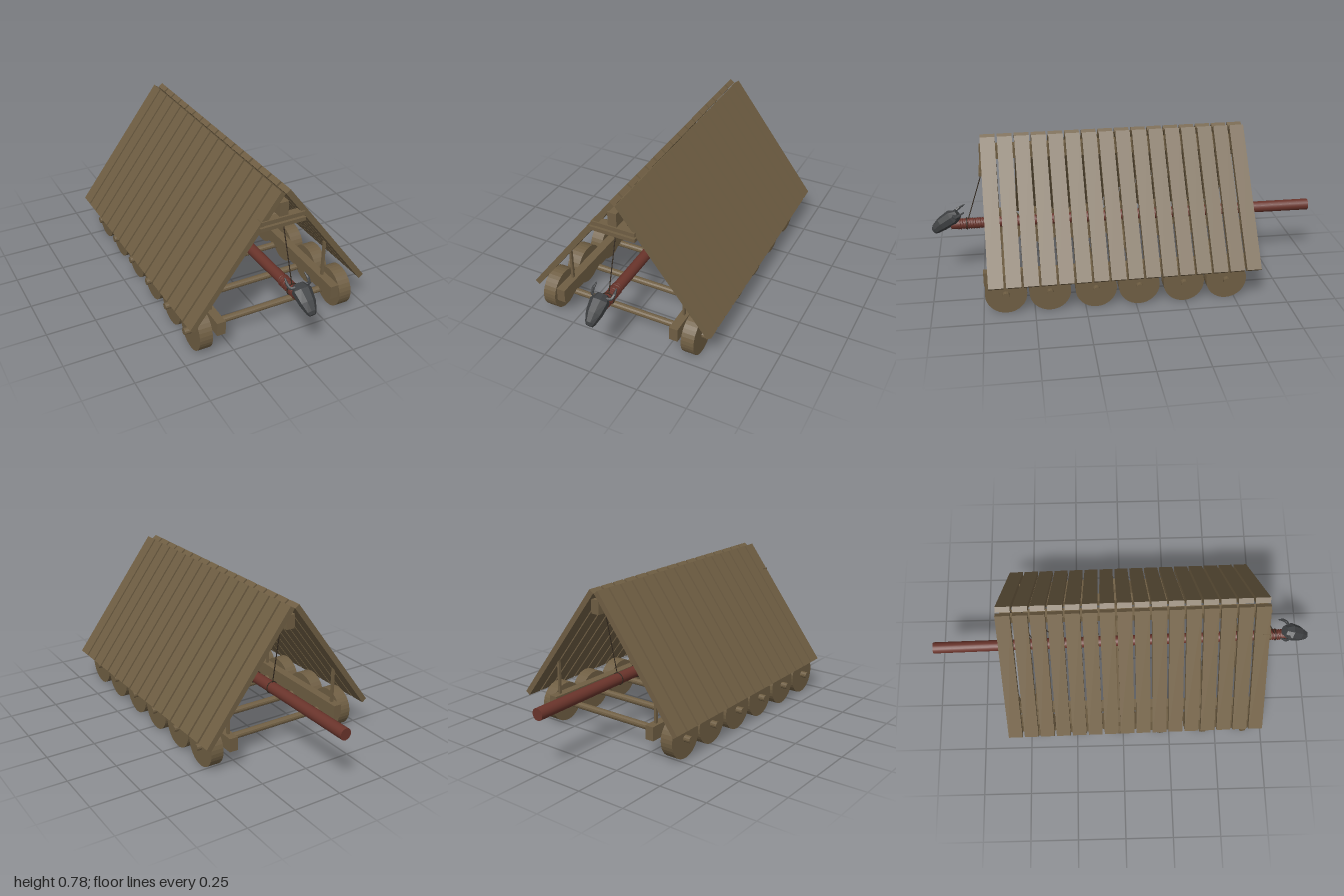
import * as THREE from 'three';

const wood = new THREE.MeshStandardMaterial({ color: 0x6f5e43, flatShading: true });
wood.name = 'wood';
const redWood = new THREE.MeshStandardMaterial({ color: 0x6a342b });
redWood.name = 'red wood';
const ropeMat = new THREE.MeshStandardMaterial({ color: 0x33291f });
ropeMat.name = 'rope';
const iron = new THREE.MeshStandardMaterial({ color: 0x3e4042, flatShading: true });
iron.name = 'dark iron';

const V = (x, y, z) => new THREE.Vector3(x, y, z);

function add(parent, name, geo, mat, x = 0, y = 0, z = 0) {
  const m = new THREE.Mesh(geo, mat);
  m.name = name;
  m.position.set(x, y, z);
  parent.add(m);
  return m;
}

const box = (p, name, w, h, d, x, y, z) => add(p, name, new THREE.BoxGeometry(w, h, d), wood, x, y, z);

// Straight round bar between two points
function bar(parent, name, a, b, r, mat, sides = 6, r2 = r) {
  const m = add(parent, name, new THREE.CylinderGeometry(r2, r, a.distanceTo(b), sides), mat);
  m.position.copy(a).add(b).multiplyScalar(0.5);
  m.quaternion.setFromUnitVectors(V(0, 1, 0), b.clone().sub(a).normalize());
  return m;
}

// Faceted head lofted through hexagonal rings: [y, z, halfWidth, halfDepth]
function headGeometry() {
  const rings = [
    [0.368, 0.862, 0.026, 0.024],
    [0.352, 0.892, 0.048, 0.040],
    [0.318, 0.945, 0.040, 0.036],
    [0.290, 0.980, 0.025, 0.026],
    [0.280, 0.990, 0.016, 0.016],
  ];
  const n = 8, pos = [], idx = [];
  const up = V(0, 0.79, 0.61);
  rings.forEach(([y, z, w, h]) => {
    for (let i = 0; i < n; i++) {
      const a = (i + 0.5) / n * Math.PI * 2;
      const s = Math.sin(a) * h;
      pos.push(Math.cos(a) * w, y + up.y * s, z + up.z * s);
    }
  });
  for (let k = 0; k < rings.length - 1; k++)
    for (let i = 0; i < n; i++) {
      const j = (i + 1) % n, a = k * n + i, b = k * n + j;
      idx.push(a, b, b + n, a, b + n, a + n);
    }
  const last = (rings.length - 1) * n;
  for (let i = 1; i < n - 1; i++) {
    idx.push(0, i + 1, i);
    idx.push(last, last + i, last + i + 1);
  }
  const g = new THREE.BufferGeometry();
  g.setAttribute('position', new THREE.Float32BufferAttribute(pos, 3));
  g.setIndex(idx);
  g.computeVertexNormals();
  return g;
}

export function createModel() {
  const model = new THREE.Group();
  model.name = 'batteringRam';

  // Plank roof, slightly askew on the frame
  const roof = new THREE.Group();
  roof.name = 'roof';
  roof.rotation.y = 0.014;
  model.add(roof);
  const tilt = Math.atan2(0.452, 0.602);
  for (let i = 0; i < 16; i++)
    for (const s of [-1, 1]) {
      const plank = box(roof, 'roofPlank', 0.028, 0.753, 0.073, s * 0.239, 0.471, 0.69 - i * 0.0843);
      plank.rotation.z = s * tilt;
    }

  // Ridge beam and front ties
  box(model, 'ridgeBeam', 0.045, 0.07, 1.33, 0, 0.695, 0.07);
  box(model, 'upperTie', 0.225, 0.02, 0.04, 0, 0.643, 0.715);
  box(model, 'lowerTie', 0.235, 0.019, 0.04, -0.003, 0.616, 0.72);

  // Side beams with posts carrying the roof
  for (const x of [-0.313, 0.304]) {
    box(model, 'sideBeam', 0.044, 0.07, 1.335, x, 0.145, 0.077);
    for (const z of [0.63, 0.02, -0.54]) box(model, 'roofPost', 0.012, 0.2, 0.014, x, 0.275, z);
  }

  // Six axles with wheels
  for (const z of [0.638, 0.424, 0.198, -0.016, -0.24, -0.456]) {
    bar(model, 'axle', V(-0.455, 0.102, z), V(0.43, 0.102, z), 0.017, wood, 12);
    for (const x of [-0.387, 0.373])
      bar(model, 'wheel', V(x - 0.033, 0.102, z), V(x + 0.033, 0.102, z), 0.102, wood, 32);
  }

  // Swinging ram log
  const tail = V(-0.015, 0.298, -1), tip = V(0.012, 0.312, 0.9);
  bar(model, 'ramLog', tail, tip, 0.03, redWood, 20, 0.026);
  const onLog = z => tail.clone().lerp(tip, (z + 1) / 1.9);

  // Binding wound round the front of the log
  const coil = [];
  for (let i = 0; i <= 120; i++) {
    const a = i / 12 * Math.PI * 2, c = onLog(0.735 + i / 120 * 0.13);
    coil.push(V(c.x + Math.cos(a) * 0.027, c.y + Math.sin(a) * 0.027, c.z));
  }
  add(model, 'binding', new THREE.TubeGeometry(new THREE.CatmullRomCurve3(coil), 240, 0.0025, 5), redWood);

  // Ropes from the ridge beam to the log
  for (const [top, bottom] of [[0.675, 0.82], [-0.54, -0.45], [-0.49, -0.31]]) {
    const end = onLog(bottom);
    bar(model, 'rope', V(0.005, 0.75, top), end, 0.0025, ropeMat);
    const ring = add(model, 'ropeLoop', new THREE.TorusGeometry(0.03, 0.003, 5, 20), ropeMat);
    ring.position.copy(end);
  }

  // Horned iron head
  const head = new THREE.Group();
  head.name = 'ramHead';
  head.position.x = 0.012;
  model.add(head);
  add(head, 'skull', headGeometry(), iron);
  for (const s of [-1, 1]) {
    const horn = new THREE.CatmullRomCurve3([
      V(s * 0.03, 0.37, 0.885), V(s * 0.05, 0.367, 0.875), V(s * 0.056, 0.38, 0.855)]);
    add(head, 'horn', new THREE.TubeGeometry(horn, 6, 0.008, 6), iron);
    bar(head, 'hornTip', V(s * 0.056, 0.378, 0.858), V(s * 0.052, 0.396, 0.83), 0.008, iron, 6, 0.003);
  }
  return model;
}
